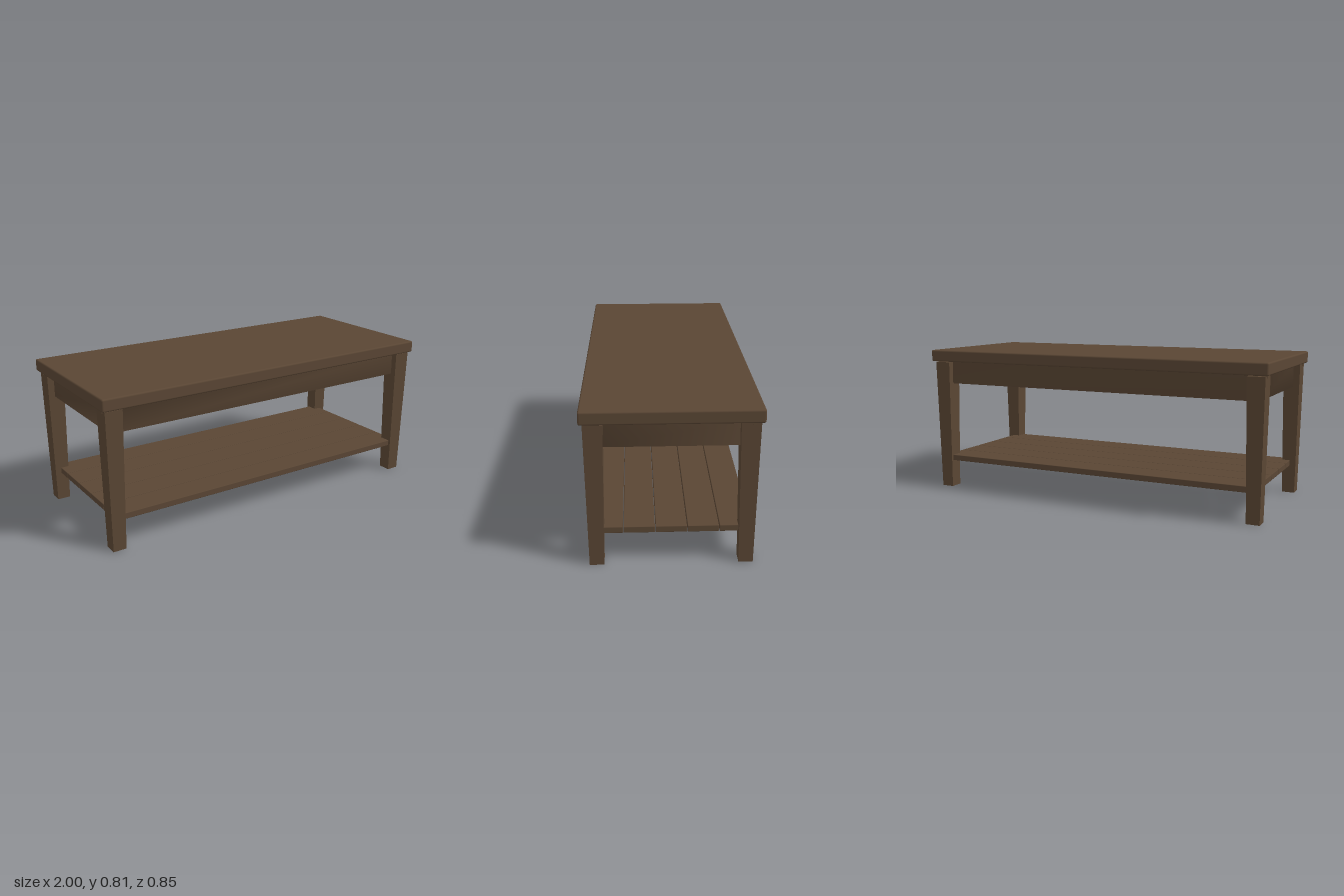
import * as THREE from 'three';
import { RoundedBoxGeometry } from 'three/addons/geometries/RoundedBoxGeometry.js';

export function createModel() {
  const table = new THREE.Group();
  table.name = 'coffeeTable';
  const wood = new THREE.MeshStandardMaterial({ color: 0x5a4634 });
  wood.name = 'darkWood';

  const add = (name, geometry, x = 0, y = 0, z = 0) => {
    const mesh = new THREE.Mesh(geometry, wood);
    mesh.name = name;
    mesh.position.set(x, y, z);
    table.add(mesh);
    return mesh;
  };

  // Thick top with softened edges
  add('tableTop', new RoundedBoxGeometry(2, 0.065, 0.854, 2, 0.009), 0, 0.7775, 0);

  // Square legs, narrower at the foot
  const legHeight = 0.74;
  const legGeometry = new THREE.BoxGeometry(0.093, legHeight, 0.093);
  const p = legGeometry.attributes.position;
  for (let i = 0; i < p.count; i++) {
    if (p.getY(i) < 0) {
      p.setX(i, p.getX(i) * 0.76);
      p.setZ(i, p.getZ(i) * 0.76);
    }
  }
  legGeometry.computeVertexNormals();

  // Small blocks where the frame shows at the leg tops
  const blockGeometry = new THREE.BoxGeometry(0.03, 0.018, 0.015);
  for (const sx of [1, -1]) {
    for (const sz of [1, -1]) {
      const place = (sz > 0 ? 'front' : 'back') + (sx > 0 ? 'Left' : 'Right');
      add(place + 'Leg', legGeometry, sx * 0.935, legHeight / 2, sz * 0.363);
      add(place + 'Block', blockGeometry, sx * 0.97, 0.739, sz * 0.378);
    }
  }

  // Apron: one softly shaded ring, from inner top round to the outer lip.
  // Each profile point is [half width, height, half depth].
  const profile = [
    [0.915, 0.746, 0.345],
    [0.915, 0.615, 0.345],
    [0.945, 0.615, 0.375],
    [0.945, 0.742, 0.375],
    [0.985, 0.742, 0.385],
    [0.985, 0.747, 0.385],
  ];
  const corners = [[1, 1], [1, -1], [-1, -1], [-1, 1]];
  const points = [];
  const faces = [];
  for (const [sx, sz] of corners) {
    for (const [x, y, z] of profile) points.push(sx * x, y, sz * z);
  }
  const n = profile.length;
  for (let c = 0; c < 4; c++) {
    for (let k = 0; k < n - 1; k++) {
      const a = c * n + k;
      const b = ((c + 1) % 4) * n + k;
      faces.push(a, b, b + 1, a, b + 1, a + 1);
    }
  }
  const apronGeometry = new THREE.BufferGeometry();
  apronGeometry.setAttribute('position', new THREE.Float32BufferAttribute(points, 3));
  apronGeometry.setIndex(faces);
  apronGeometry.computeVertexNormals();
  add('apron', apronGeometry);

  // Lower shelf of five boards
  const boardGeometry = new RoundedBoxGeometry(1.88, 0.033, 0.152, 1, 0.003);
  for (let i = -2; i <= 2; i++) {
    add('shelfBoard' + (i + 3), boardGeometry, 0, 0.173, i * 0.1555);
  }

  return table;
}
